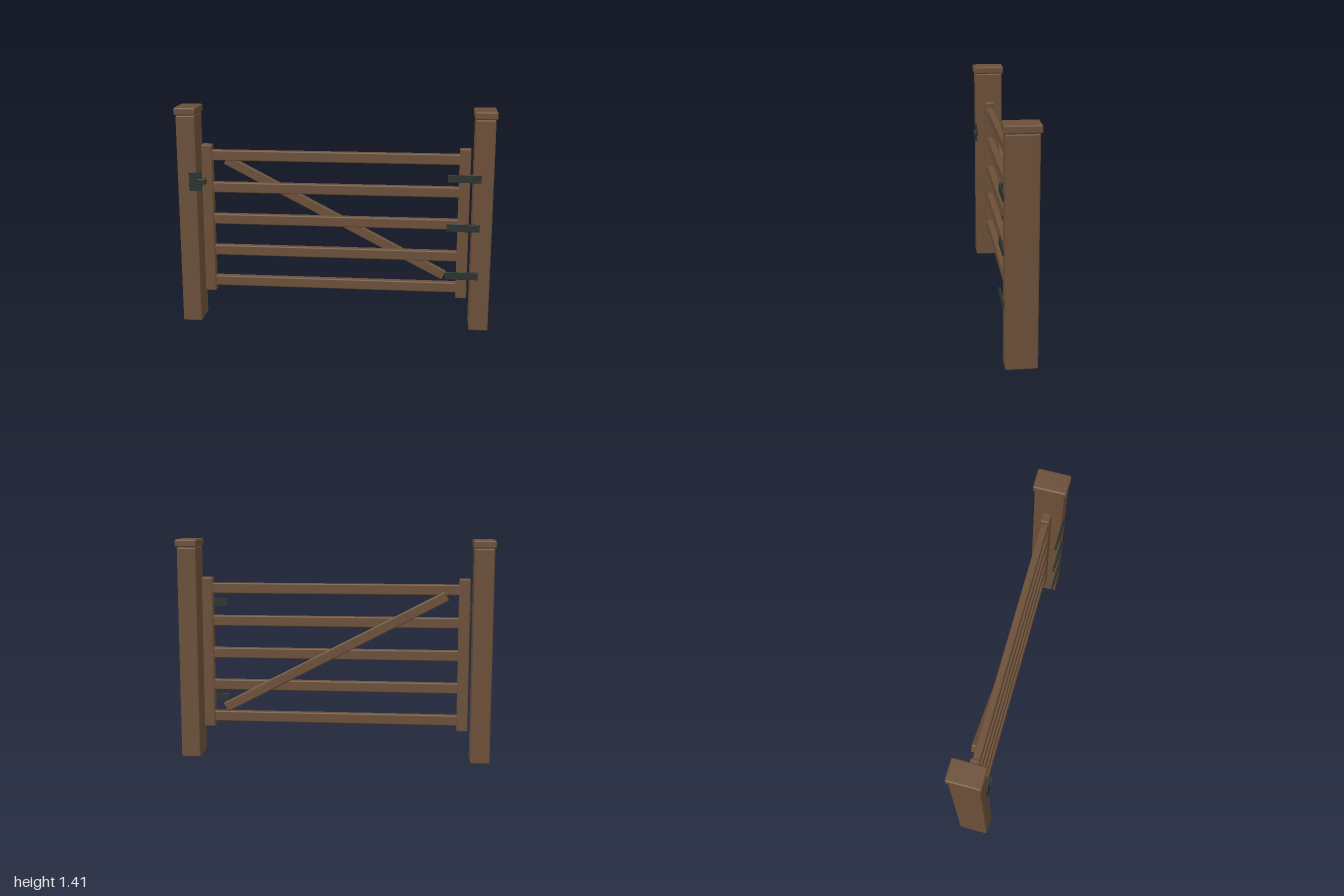
import * as THREE from 'three';
import { RoundedBoxGeometry } from 'three/addons/geometries/RoundedBoxGeometry.js';

const wood = new THREE.MeshStandardMaterial({ color: 0x6b4f38 });
wood.name = 'brownWood';
const iron = new THREE.MeshStandardMaterial({ color: 0x2a332d });
iron.name = 'darkIron';

const MID_Z = -0.003; // centre plane of posts and gate

// Softly bevelled block, given by its size and centre
function block(name, material, size, position, bevel) {
  const mesh = new THREE.Mesh(new RoundedBoxGeometry(...size, 2, bevel), material);
  mesh.name = name;
  mesh.position.set(...position);
  return mesh;
}

export function createModel() {
  const model = new THREE.Group();
  model.name = 'fieldGate';

  // Posts with caps, and the gate's upright stiles, mirrored on both sides
  for (const [side, s] of [['left', 1], ['right', -1]]) {
    const post = new THREE.Group();
    post.name = side + 'Post';
    post.add(
      block('postShaft', wood, [0.123, 1.355, 0.187], [s * 0.929, 0.6775, MID_Z], 0.009),
      block('postCap', wood, [0.14, 0.05, 0.208], [s * 0.93, 1.381, MID_Z], 0.011)
    );
    model.add(post);
    model.add(block(side + 'Stile', wood, [0.07, 0.973, 0.058], [s * 0.815, 0.677, MID_Z], 0.008));
  }

  // Five evenly spaced horizontal rails
  for (let i = 0; i < 5; i++) {
    const y = 0.26 + i * 0.2085;
    model.add(block('rail' + (i + 1), wood, [1.6, 0.067, 0.045], [0, y, MID_Z], 0.008));
  }

  // Diagonal brace across the back of the rails
  const brace = block('diagonalBrace', wood, [1.588, 0.064, 0.031], [0, 0.691, -0.041], 0.008);
  brace.rotation.z = -0.481;
  model.add(brace);

  // Strap hinges on the left post
  [0.365, 0.677, 0.99].forEach((y, i) => {
    model.add(block('hinge' + (i + 1), iron, [0.206, 0.049, 0.012], [0.811, y, 0.092], 0.003));
  });

  // Latch plate and its bolt on the right post
  const latch = new THREE.Group();
  latch.name = 'latch';
  latch.add(
    block('latchPlate', iron, [0.08, 0.123, 0.014], [-0.877, 0.938, 0.091], 0.003),
    block('latchBolt', iron, [0.057, 0.036, 0.028], [-0.836, 0.939, 0.095], 0.006)
  );
  model.add(latch);

  return model;
}
